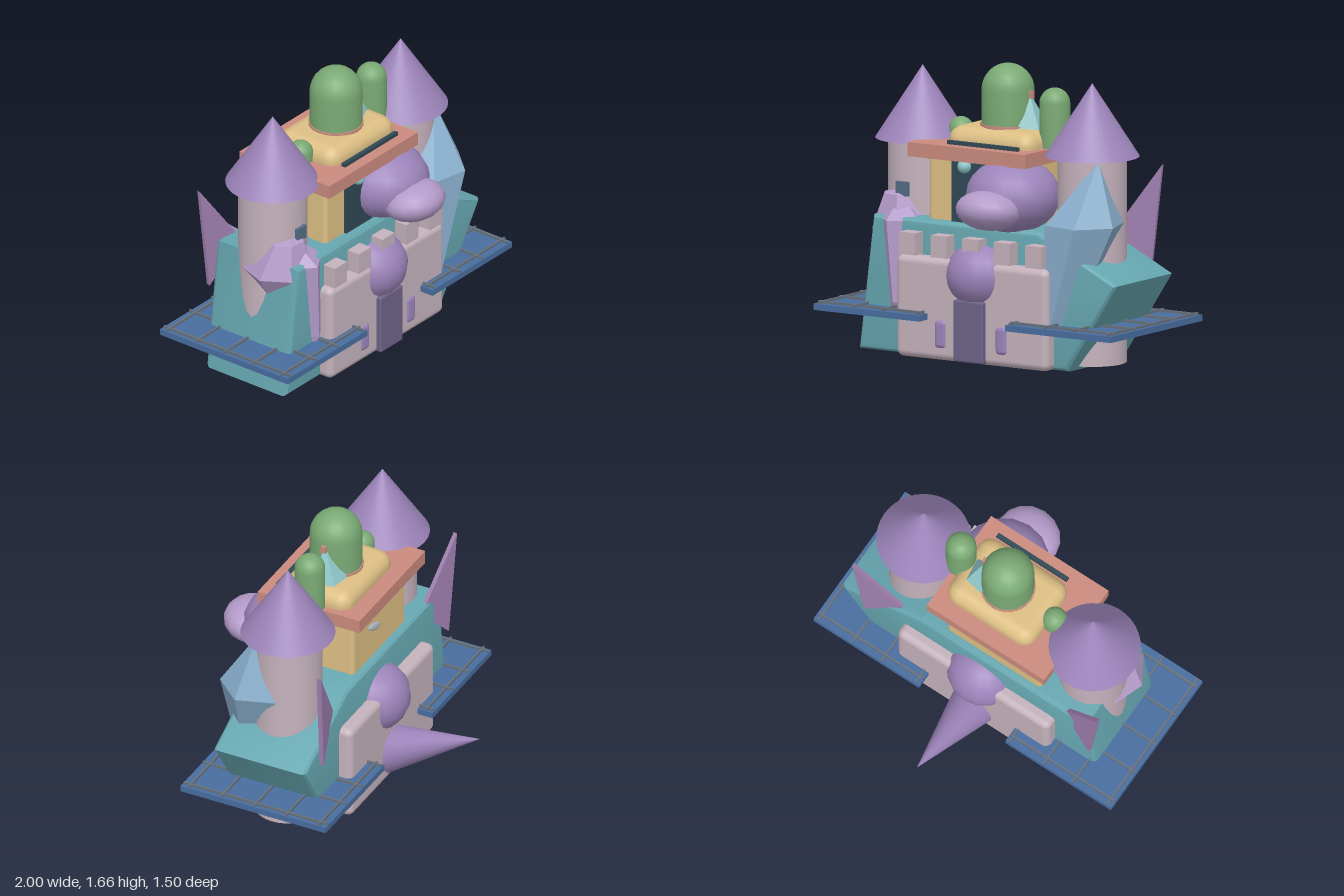
import * as THREE from 'three';
import { toCreasedNormals } from 'three/addons/utils/BufferGeometryUtils.js';
import { RoundedBoxGeometry } from 'three/addons/geometries/RoundedBoxGeometry.js';

const C = {
  stone: 0xc4b2bc, purple: 0x9c84ba, lilac: 0xb39bc9, door: 0x6c6387, teal: 0x66a6b0, blue: 0x486d9f,
  grid: 0x66707c, salmon: 0xca8a7e, yellow: 0xdcbf84, dark: 0x2f4854, green: 0x7aa974, ice: 0x8aafcd,
  mint: 0x8fc6c9, fin: 0xa080b0, slate: 0x536b85, brown: 0x6b4a35, silver: 0xb5c0c8,
};

export function createModel() {
  const root = new THREE.Group();

  const add = (name, geo, color, x = 0, y = 0, z = 0, flat = false) => {
    const mat = new THREE.MeshStandardMaterial({ color, flatShading: flat });
    const m = new THREE.Mesh(geo, mat);
    m.name = name;
    m.position.set(x, y, z);
    root.add(m);
    return m;
  };
  // Box given by its limits on each axis, optionally rounded
  const box = (name, color, [x0, x1], [y0, y1], [z0, z1], r = 0, seg = 3) => {
    const s = [x1 - x0, y1 - y0, z1 - z0];
    const g = r ? new RoundedBoxGeometry(...s, seg, r) : new THREE.BoxGeometry(...s);
    return add(name, g, color, (x0 + x1) / 2, (y0 + y1) / 2, (z0 + z1) / 2);
  };
  const ball = (name, color, x, y, z, rx, ry, rz) => {
    const m = add(name, new THREE.SphereGeometry(1, 16, 12), color, x, y, z);
    m.scale.set(rx, ry, rz);
    return m;
  };
  // Faceted crystal through sections [x, y, z, radius], bottom to top
  const crystal = (name, color, sections, sides, turn = 0) => {
    const pos = [];
    const pt = ([x, y, z, r], i) => {
      const a = turn + (i / sides) * Math.PI * 2;
      return [x + r * Math.cos(a), y, z + r * Math.sin(a)];
    };
    for (let s = 0; s < sections.length - 1; s++) {
      const lo = sections[s], hi = sections[s + 1];
      for (let i = 0; i < sides; i++) {
        if (lo[3] > 0) pos.push(...pt(lo, i), ...pt(hi, i), ...pt(lo, i + 1));
        if (hi[3] > 0) pos.push(...pt(lo, i + 1), ...pt(hi, i), ...pt(hi, i + 1));
      }
    }
    const g = new THREE.BufferGeometry();
    g.setAttribute('position', new THREE.Float32BufferAttribute(pos, 3));
    g.computeVertexNormals();
    return add(name, g, color, 0, 0, 0, true);
  };
  // Upright cylinder closed by a hemisphere
  const dome = (name, x, r, y0, top) => {
    const pts = [new THREE.Vector2(0, y0), new THREE.Vector2(r, y0)];
    for (let i = 0; i <= 8; i++) {
      const a = (i / 8) * Math.PI / 2;
      pts.push(new THREE.Vector2(i === 8 ? 0 : r * Math.cos(a), top - r + r * Math.sin(a)));
    }
    add(name, toCreasedNormals(new THREE.LatheGeometry(pts, 20), 0.8), C.green, x, 0, 0.155);
  };

  // Rock body: bevelled polygon running front to back
  const b = 0.035;
  const rock = new THREE.Shape([[-0.775, 0.045], [0.575, 0.045], [0.88, 0.51], [0.39, 0.745], [-0.685, 0.745]]
    .map(([x, y]) => new THREE.Vector2(x, y)));
  const rockGeo = new THREE.ExtrudeGeometry(rock, { depth: 0.58 - 2 * b, bevelSize: b, bevelThickness: b, bevelSegments: 3 });
  add('rockBody', toCreasedNormals(rockGeo, 0.5), C.teal, 0, 0, -0.13 + b);

  // Castle wall with battlements, door and windows
  box('castleWall', C.stone, [-0.51, 0.51], [0.01, 0.585], [-0.205, 0.525], 0.04);
  for (let i = -2; i <= 2; i++) {
    const x = i * 0.212;
    box('merlon', C.stone, [x - 0.054, x + 0.054], [0.59, 0.715], [0.42, 0.53]);
  }
  box('door', C.door, [-0.1, 0.1], [0.02, 0.37], [0.45, 0.555], 0.012);
  for (const s of [-1, 1]) box('wallWindow', C.purple, [s * 0.205 - 0.044, s * 0.205 + 0.044], [0.075, 0.245], [0.47, 0.535], 0.03);
  ball('frontOrb', C.purple, 0, 0.5, 0.41, 0.207, 0.19, 0.2);
  ball('backOrb', C.purple, 0, 0.5, -0.09, 0.207, 0.2, 0.2);
  add('underside', new THREE.CylinderGeometry(0.2, 0.2, 0.012, 9), C.brown, 0, 0.007, 0.15);

  // Long spike pointing back and up
  const tip = new THREE.Vector3(0, 0.41, -0.75), foot = new THREE.Vector3(0, 0.145, -0.1);
  const dir = tip.clone().sub(foot);
  const spike = add('backSpike', new THREE.ConeGeometry(0.155, dir.length(), 32), C.purple);
  spike.position.copy(foot).addScaledVector(dir, 0.5);
  spike.quaternion.setFromUnitVectors(new THREE.Vector3(0, 1, 0), dir.clone().normalize());

  for (const s of [-1, 1]) {
    // Towers with pointed roofs
    add('tower', new THREE.CylinderGeometry(0.193, 0.193, 1.155, 32), C.stone, s * 0.57, 0.6075, 0.16);
    add('towerRoof', new THREE.ConeGeometry(0.265, 0.41, 40), C.purple, s * 0.57, 1.395, 0.16);

    // Side platforms with raised grid bars
    const span = (a, c) => (s > 0 ? [a, c] : [-c, -a]);
    box('platform', C.blue, span(0.29, 1), [0.235, 0.27], [-0.3, 0.61]);
    for (const x of [0.315, 0.545, 0.74, 0.97])
      box('platformBar', C.grid, span(x - 0.006, x + 0.006), [0.265, 0.284], [-0.295, 0.605]);
    for (const z of [-0.255, -0.05, 0.15, 0.355, 0.56])
      box('platformBar', C.grid, span(0.295, 0.995), [0.265, 0.284], [z - 0.006, z + 0.006]);

    // Thin triangular fins behind the towers
    const w = 0.295;
    const tri = new THREE.Shape([[0, 0.72], [w * 0.77, 0.5], [w, 1.12]].map(([u, v]) => new THREE.Vector2(s * u, v)));
    const fin = add('fin', new THREE.ExtrudeGeometry(tri, { depth: 0.025, bevelEnabled: false }), C.fin, s * 0.535, 0, -0.105);
    fin.rotation.y = s * 0.25;
  }
  box('towerWindow', C.slate, [-0.61, -0.53], [0.885, 0.965], [0.3, 0.37]);

  // Crystals growing from the rock
  crystal('blueCrystal', C.ice, [[0.46, 0.16, 0.38, 0], [0.47, 0.22, 0.39, 0.11], [0.62, 0.83, 0.31, 0.225], [0.7, 1.19, 0.29, 0]], 6, 0.2);
  crystal('purpleCrystal', C.lilac, [[-0.62, 0.4, 0.24, 0], [-0.62, 0.7, 0.25, 0.205], [-0.62, 0.89, 0.29, 0.11], [-0.61, 0.93, 0.29, 0]], 7, 0.35);
  crystal('purpleShard', C.lilac, [[-0.57, 0.23, 0.45, 0], [-0.55, 0.3, 0.42, 0.06], [-0.575, 0.76, 0.35, 0.145], [-0.6, 0.9, 0.31, 0]], 5, 0.4);

  // Upper house, flat roof and cushion top
  box('house', C.yellow, [-0.38, 0.25], [0.7, 1.14], [-0.085, 0.385], 0.025);
  box('houseOpening', C.dark, [-0.215, 0.02], [0.77, 1.135], [0.33, 0.4]);
  ball('lamp', C.mint, -0.12, 1.1, 0.41, 0.04, 0.04, 0.04);
  const moon = ball('backMark', C.silver, 0, 0.96, -0.085, 0.075, 0.025, 0.012);
  moon.rotation.z = 0.35;
  box('flatRoof', C.salmon, [-0.46, 0.33], [1.135, 1.215], [-0.165, 0.475]);
  box('roofCushion', C.yellow, [-0.29, 0.29], [1.12, 1.31], [-0.07, 0.37], 0.085, 2);
  box('roofSlot', C.dark, [-0.237, 0.235], [1.205, 1.236], [0.385, 0.41]);
  add('domeCollar', new THREE.CylinderGeometry(0.155, 0.155, 0.03, 24), C.salmon, 0, 1.307, 0.155);

  // Green domes
  dome('largeDome', 0, 0.148, 1.2, 1.66);
  dome('leftDome', 0.315, 0.086, 1.18, 1.55);
  dome('rightDome', -0.315, 0.07, 1.18, 1.33);

  // Small rooftop crystal and its tip block
  crystal('roofCrystal', C.mint, [[0.13, 1.2, 0.135, 0.13], [0.13, 1.31, 0.135, 0.115], [0.14, 1.505, 0.15, 0]], 5, 0.5);
  box('crystalTip', C.salmon, [0.135, 0.165], [1.475, 1.515], [0.135, 0.165]);

  // Large rounded head and snout at the front
  ball('head', C.purple, 0.165, 0.955, 0.35, 0.265, 0.21, 0.27);
  ball('snout', C.lilac, 0.157, 0.9, 0.585, 0.188, 0.112, 0.17).rotation.x = -0.15;

  return root;
}
